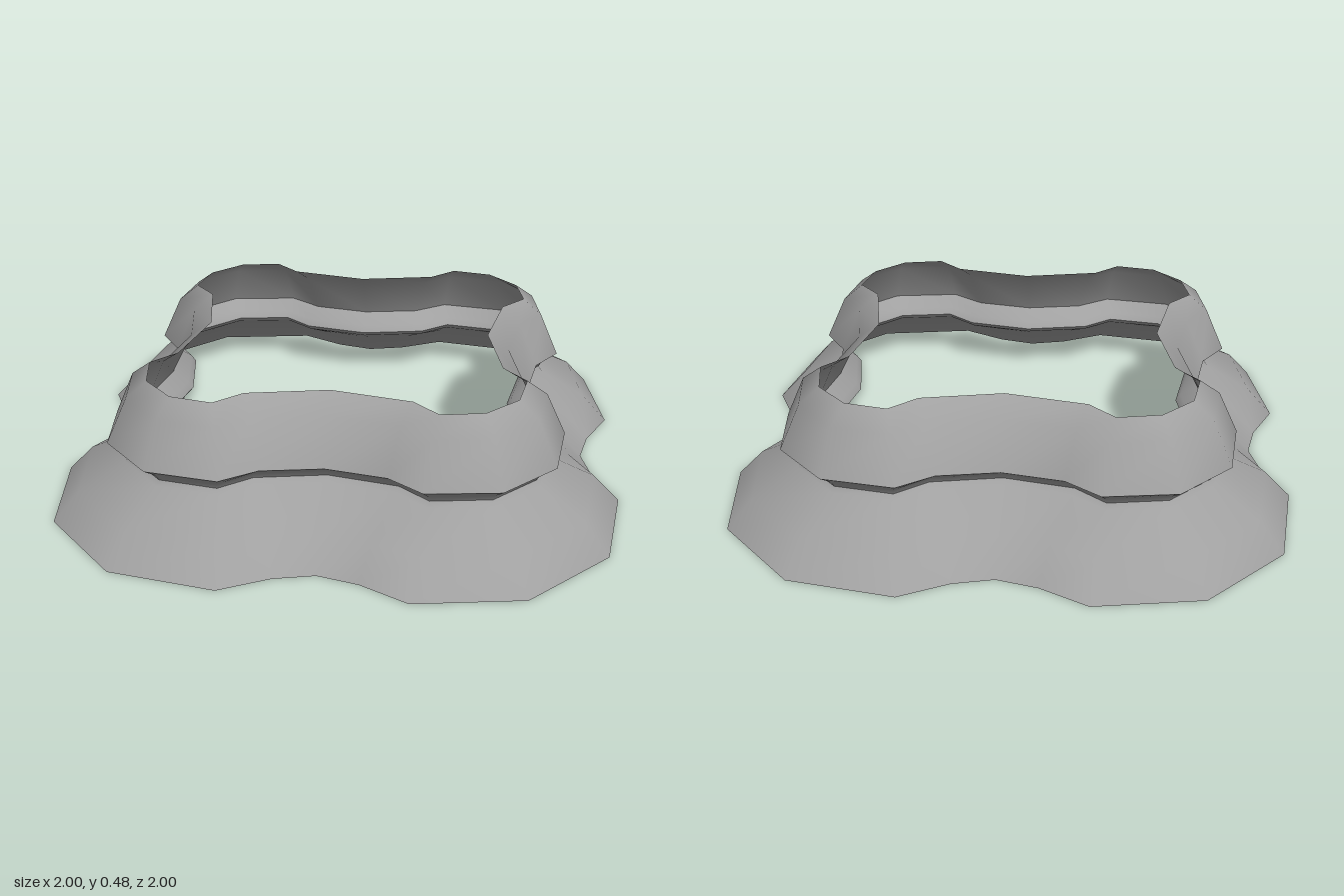
import * as THREE from 'three';

// Half of one lobe, as [x, z] points, at three inward offsets of the outline
const OFFSETS = [0, 0.21, 0.35];
const OUTLINES = [
  [[0, 0.885], [0.14, 0.918], [0.305, 1.0], [0.672, 0.94]],
  [[0, 0.67], [0.21, 0.707], [0.33, 0.79], [0.58, 0.755]],
  [[0, 0.512], [0.278, 0.567], [0.368, 0.648], [0.515, 0.62]],
];

// Full scalloped ring for an inward offset: mirrored over the diagonal, then turned four times
function ring(d) {
  const k = d < OFFSETS[1] ? 0 : 1;
  const t = (d - OFFSETS[k]) / (OFFSETS[k + 1] - OFFSETS[k]);
  const half = OUTLINES[k].map(([x, z], i) => [
    THREE.MathUtils.lerp(x, OUTLINES[k + 1][i][0], t),
    THREE.MathUtils.lerp(z, OUTLINES[k + 1][i][1], t),
  ]);
  let quarter = [...half, ...half.slice(1).reverse().map(([x, z]) => [z, x])];
  const points = [];
  for (let q = 0; q < 4; q++) {
    points.push(...quarter);
    quarter = quarter.map(([x, z]) => [z, -x]);
  }
  return points;
}

// Smooth open band through levels of [height, inward offset]
function band(name, levels, material) {
  const positions = [];
  const index = [];
  let n = 0;
  for (const [y, d] of levels) {
    const points = ring(d);
    n = points.length;
    for (const [x, z] of points) positions.push(x, y, z);
  }
  for (let i = 0; i < levels.length - 1; i++) {
    for (let j = 0; j < n; j++) {
      const a = i * n + j;
      const b = i * n + ((j + 1) % n);
      index.push(a, b, b + n, a, b + n, a + n);
    }
  }
  const geometry = new THREE.BufferGeometry();
  geometry.setAttribute('position', new THREE.Float32BufferAttribute(positions, 3));
  geometry.setIndex(index);
  geometry.computeVertexNormals();
  const mesh = new THREE.Mesh(geometry, material);
  mesh.name = name;
  return mesh;
}

export function createModel() {
  const group = new THREE.Group();
  group.name = 'scallopedCollar';
  const grey = new THREE.MeshStandardMaterial({ color: 0xa0a0a0, side: THREE.DoubleSide });
  grey.name = 'plain grey';

  // Separate bands keep the creases at the neck and the shoulder sharp
  group.add(
    band('flaredSkirt', [[0, 0], [0.1, 0.095], [0.187, 0.262], [0.205, 0.275]], grey),
    band('neck', [[0.205, 0.275], [0.23, 0.26], [0.27, 0.21]], grey),
    band('crown', [[0.27, 0.21], [0.425, 0.28], [0.48, 0.35]], grey),
  );
  return group;
}
